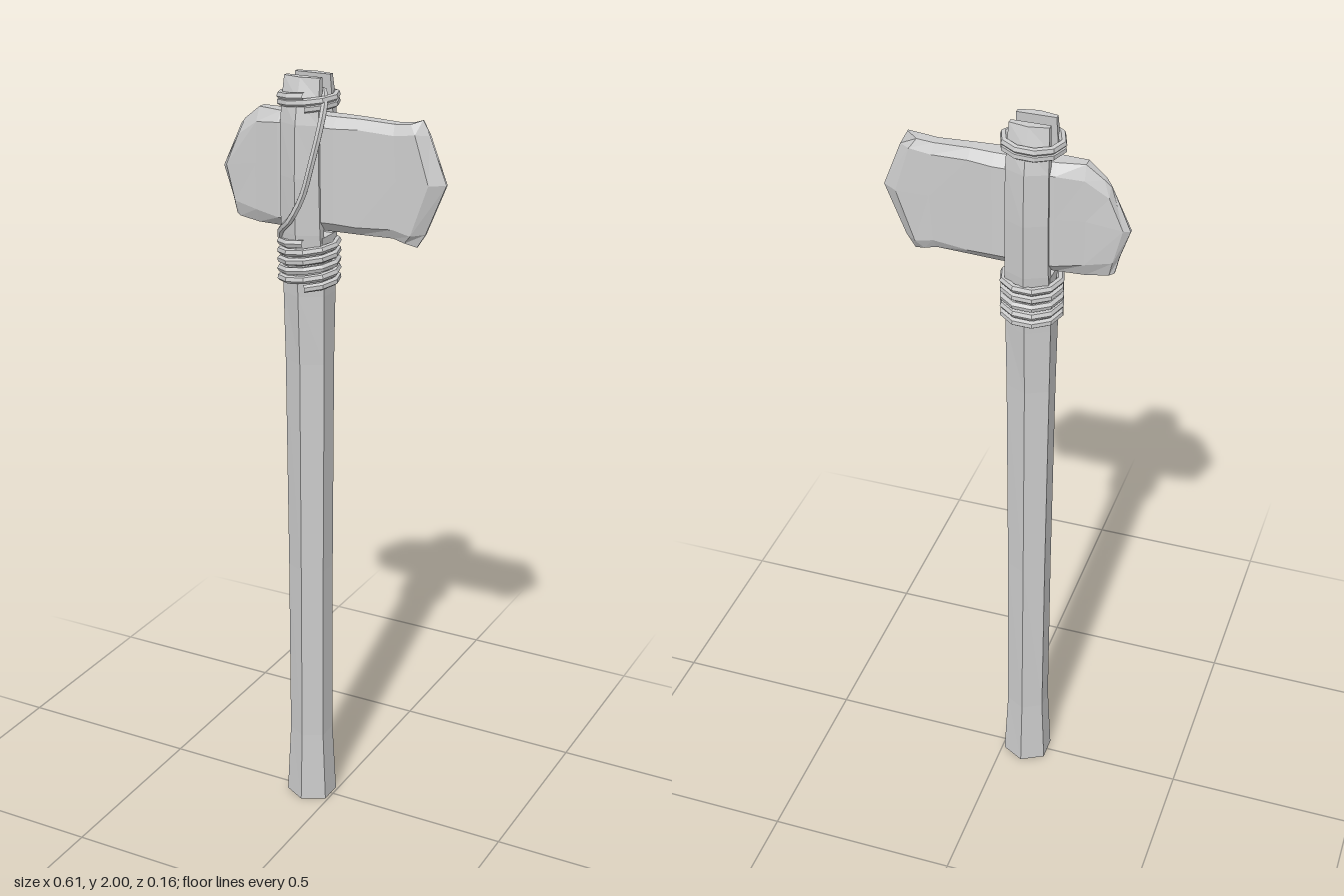
import * as THREE from 'three';

const AXIS = -0.066; // x of the handle's centre line

const material = () => new THREE.MeshStandardMaterial({ color: 0xcccccc, flatShading: true });

// Skin a list of equal-length cross-sections and close both ends.
function loft(rings) {
  const n = rings[0].length, last = (rings.length - 1) * n, index = [];
  for (let i = 0; i < rings.length - 1; i++) {
    for (let j = 0; j < n; j++) {
      const a = i * n + j, b = i * n + (j + 1) % n;
      index.push(a, b, a + n, b, b + n, a + n);
    }
  }
  for (let j = 1; j < n - 1; j++) {
    index.push(0, j + 1, j, last, last + j, last + j + 1);
  }
  const g = new THREE.BufferGeometry();
  g.setAttribute('position', new THREE.Float32BufferAttribute(rings.flat(2), 3));
  g.setIndex(index);
  const flat = g.toNonIndexed();
  flat.computeVertexNormals();
  return flat;
}

function part(name, geometry) {
  const mesh = new THREE.Mesh(geometry, material());
  mesh.name = name;
  return mesh;
}

// Six-sided shaft: [height, half width, half depth]
function handleGeometry() {
  const profile = [
    [0, 0.059, 0.064], [0.2, 0.05, 0.056], [0.7, 0.051, 0.054],
    [1.28, 0.055, 0.054], [1.46, 0.057, 0.061], [1.61, 0.055, 0.068],
  ];
  return loft(profile.map(([y, w, d]) => Array.from({ length: 6 }, (_, k) => {
    const a = k * Math.PI / 3;
    return [w * Math.sin(a) / 0.866, y, d * Math.cos(a)];
  })));
}

// One half of the split shaft top: [height, half width, inner, side and outer depth]
function prongGeometry() {
  const profile = [
    [1.5, 0.055, 0.004, 0.032, 0.062], [1.62, 0.054, 0.025, 0.046, 0.072],
    [1.76, 0.053, 0.03, 0.05, 0.075], [1.89, 0.052, 0.028, 0.048, 0.07],
    [1.95, 0.05, 0.024, 0.042, 0.058], [2, 0.048, 0.02, 0.033, 0.043],
  ];
  return loft(profile.map(([y, w, zi, zs, zo]) => [
    [0, y, zo], [w, y, zs], [w, y, zi], [-w, y, zi], [-w, y, zs],
  ]));
}

// Stone head, skinned along x with bowed columns:
// [x at bottom, middle, top, low y, high y, bevel height, face and rim half thickness]
function headGeometry() {
  const columns = [
    [-0.268, -0.303, -0.252, 1.635, 1.862, 0.045, 0.004, 0.003],
    [-0.256, -0.288, -0.238, 1.63, 1.878, 0.04, 0.018, 0.008],
    [-0.2, -0.2, -0.195, 1.623, 1.912, 0.035, 0.027, 0.012],
    [-0.13, -0.13, -0.13, 1.625, 1.91, 0.025, 0.042, 0.02],
    [0.02, 0.02, 0.02, 1.628, 1.91, 0.025, 0.042, 0.02],
    [0.08, 0.08, 0.08, 1.628, 1.91, 0.022, 0.036, 0.016],
    [0.17, 0.18, 0.17, 1.63, 1.907, 0.025, 0.027, 0.014],
    [0.2, 0.265, 0.212, 1.622, 1.911, 0.022, 0.026, 0.015],
    [0.228, 0.302, 0.238, 1.612, 1.921, 0.035, 0.003, 0.002],
  ];
  return loft(columns.map(([xl, xm, xh, lo, hi, b, t, e]) => {
    const half = [
      [xh, hi, e], [THREE.MathUtils.lerp(xh, xm, 0.3), hi - b, t],
      [xm, lo + (hi - lo) * 0.52, t],
      [THREE.MathUtils.lerp(xl, xm, 0.3), lo + b, t], [xl, lo, e],
    ];
    return [...half, ...half.map(([x, y, z]) => [x, y, -z]).reverse()];
  }));
}

// Cord wound round the shaft
function coilGeometry(y0, y1, turns, rx, rz) {
  const steps = turns * 10, points = [];
  for (let i = 0; i <= steps; i++) {
    const a = i * Math.PI / 5 + 0.3;
    const y = y0 + (y1 - y0) * i / steps + 0.005 * Math.sin(a);
    points.push(new THREE.Vector3(rx * Math.sin(a), y, rz * Math.cos(a)));
  }
  return cord(points, steps, 0.01);
}

function cord(points, segments, radius) {
  const curve = new THREE.CatmullRomCurve3(points);
  return new THREE.TubeGeometry(curve, segments, radius, 6);
}

export function createModel() {
  const model = new THREE.Group();
  model.name = 'stoneAxe';

  const shaft = new THREE.Group();
  shaft.name = 'shaft';
  shaft.position.x = AXIS;
  shaft.add(part('handle', handleGeometry()));
  const front = part('frontProng', prongGeometry());
  const back = part('backProng', prongGeometry());
  back.rotation.y = Math.PI;
  shaft.add(front, back);

  // Lashings below and above the head, and the loose strand across the front
  const lashing = new THREE.Group();
  lashing.name = 'lashing';
  lashing.position.x = AXIS;
  const strand = [
    [0.04, 1.965, 0], [0.062, 1.945, 0.035], [0.062, 1.89, 0.058],
    [0.045, 1.8, 0.074], [0.022, 1.72, 0.077], [-0.015, 1.655, 0.075],
    [-0.05, 1.625, 0.052], [-0.06, 1.6, 0.035],
  ].map(p => new THREE.Vector3(...p));
  lashing.add(
    part('lowerCoil', coilGeometry(1.485, 1.6, 5, 0.07, 0.072)),
    part('upperCoil', coilGeometry(1.928, 1.958, 2, 0.07, 0.064)),
    part('looseStrand', cord(strand, 16, 0.009)),
  );

  model.add(shaft, part('axeHead', headGeometry()), lashing);
  return model;
}
